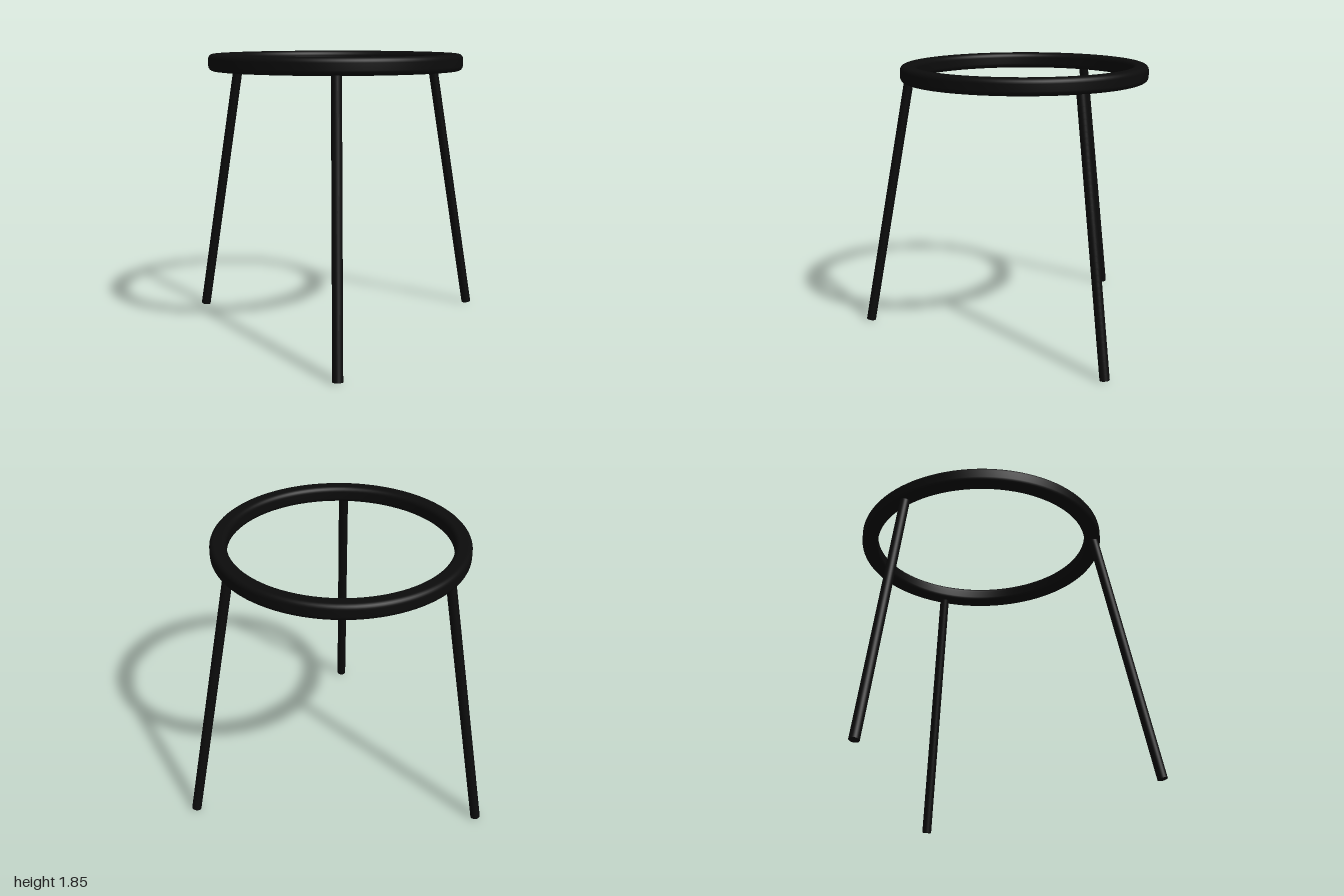
import * as THREE from 'three';

export function createModel() {
  const group = new THREE.Group();
  const black = new THREE.MeshStandardMaterial({ color: 0x0c0c0c });
  black.name = 'black metal';

  const centreX = -0.16, ringY = 1.793, ringRadius = 0.775;

  // Ring: rounded-square section swept around the vertical axis
  const half = 0.054, corner = 0.032, flat = half - corner;
  const profile = [];
  const corners = [[1, -1, -90], [1, 1, 0], [-1, 1, 90], [-1, -1, 180]];
  for (const [sx, sy, start] of corners) {
    for (let i = 0; i <= 6; i++) {
      const a = THREE.MathUtils.degToRad(start + i * 15);
      profile.push(new THREE.Vector2(
        ringRadius + sx * flat + corner * Math.cos(a),
        sy * flat + corner * Math.sin(a)));
    }
  }
  profile.push(profile[0].clone());
  const ring = new THREE.Mesh(new THREE.LatheGeometry(profile, 96), black);
  ring.name = 'topRing';
  ring.position.set(centreX, ringY, 0);
  group.add(ring);

  // Three round legs splayed outward from the ring, with square-cut ends
  const up = new THREE.Vector3(0, 1, 0);
  for (let i = 0; i < 3; i++) {
    const a = i * Math.PI * 2 / 3;
    const at = (r, y) => new THREE.Vector3(centreX + r * Math.cos(a), y, r * Math.sin(a));
    const foot = at(1.113, 0.006);
    const top = at(0.773, 1.79);
    const axis = top.clone().sub(foot);
    const leg = new THREE.Mesh(new THREE.CylinderGeometry(0.032, 0.032, axis.length(), 32), black);
    leg.name = 'leg' + (i + 1);
    leg.position.copy(foot).add(top).multiplyScalar(0.5);
    leg.quaternion.setFromUnitVectors(up, axis.normalize());
    group.add(leg);
  }
  return group;
}
